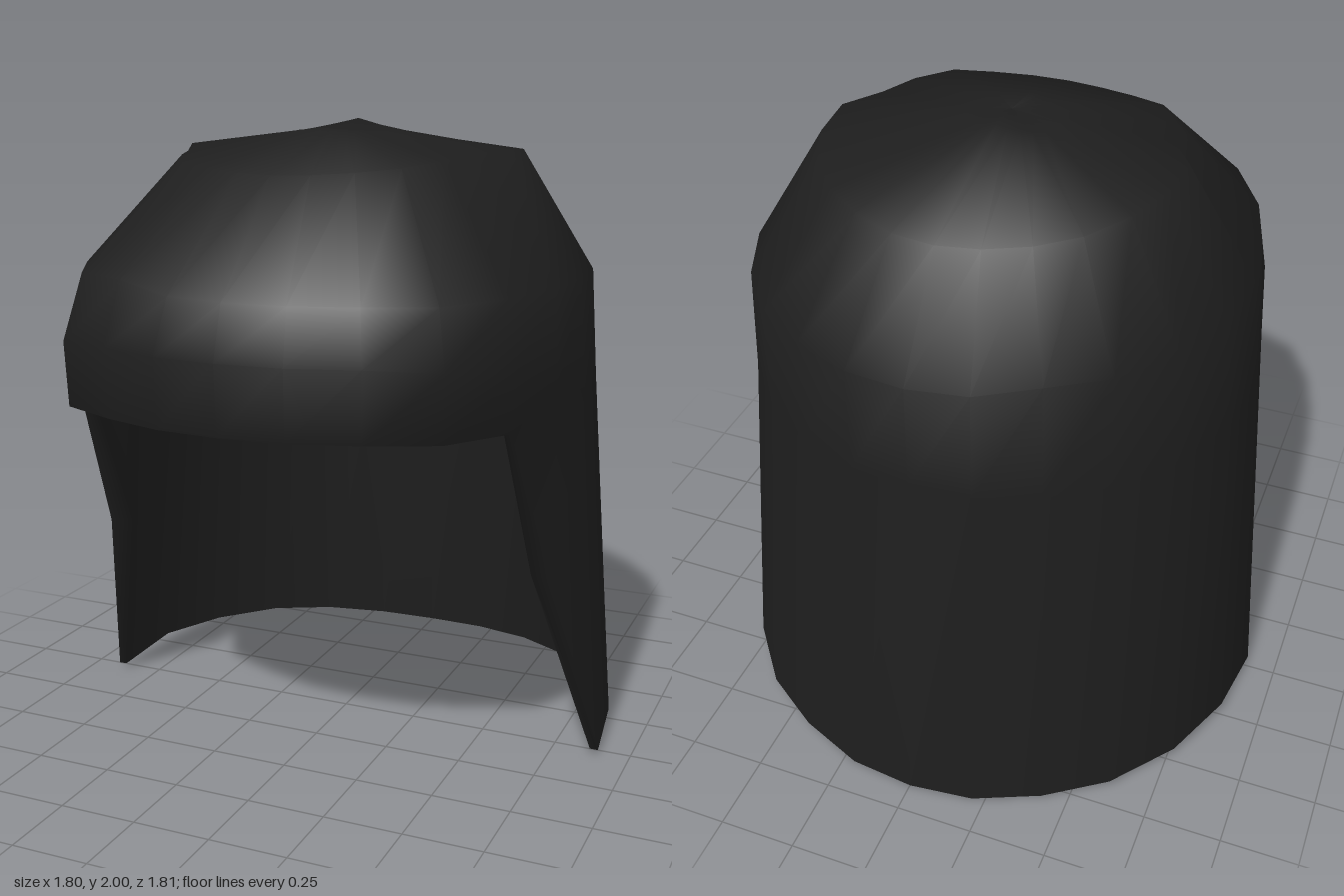
import * as THREE from 'three';

// Half of the lower hem, from the back centre round to the front centre:
// x, z, hem height, mid-ring height, mid scale, shoulder scale, inner-edge scale
const HALF = [
  [0, -0.905, 0.00, 1.2, 0.885, 0.88, 0.975],
  [0.21, -0.885, 0.005, 1.2, 0.885, 0.88, 0.975],
  [0.42, -0.805, 0.02, 1.2, 0.885, 0.88, 0.975],
  [0.61, -0.68, 0.03, 1.2, 0.885, 0.88, 0.975],
  [0.77, -0.48, 0.035, 1.2, 0.89, 0.875, 0.975],
  [0.87, -0.24, 0.04, 1.2, 0.9, 0.875, 0.975],
  [0.90, 0.03, 0.015, 1.2, 0.9, 0.87, 0.97],
  [0.785, 0.25, 0.65, 1.25, 1.0, 0.975, 0.91],
  [0.72, 0.50, 1.16, 1.33, 1.01, 0.97, 0.96],
  [0.60, 0.735, 1.17, 1.37, 1.01, 0.955, 0.95],
  [0.40, 0.825, 1.17, 1.38, 1.01, 0.955, 0.95],
  [0.20, 0.885, 1.17, 1.38, 1.01, 0.955, 0.95],
  [0, 0.90, 1.17, 1.38, 1.01, 0.955, 0.95],
];

// Mirror the half hem into a full loop; the right side is a touch slimmer
const COLUMNS = [
  ...HALF,
  ...HALF.slice(1, -1).reverse().map(([x, z, hem, midY, mid, shoulder, edge]) =>
    [z > 0.1 ? -0.98 * x : -x, z, hem, midY, mid, shoulder - 0.015, edge]),
];

// Skin a stack of closed rings with smooth normals
function loft(rings) {
  const n = rings[0].length;
  const index = [];
  for (let j = 0; j < rings.length - 1; j++) {
    for (let i = 0; i < n; i++) {
      const a = j * n + i, b = j * n + (i + 1) % n;
      const c = a + n, d = b + n;
      index.push(a, c, b, b, c, d);
    }
  }
  const geometry = new THREE.BufferGeometry();
  geometry.setAttribute('position', new THREE.Float32BufferAttribute(rings.flat(2), 3));
  geometry.setIndex(index);
  geometry.computeVertexNormals();
  return geometry;
}

// Rings of the outer surface, from the hem up to the crown
function outerRings() {
  const scaled = (pick) => COLUMNS.map((c) => {
    const [s, y] = pick(c);
    return [c[0] * s, y, c[1] * s];
  });
  const side = (c) => Math.abs(c[0]) / Math.hypot(c[0], c[1]);
  return [
    scaled((c) => [1, c[2]]),
    scaled((c) => [c[4], c[3]]),
    scaled((c) => [c[5], c[0] < -0.3 ? 1.57 : 1.54]),
    scaled((c) => [c[5] * (c[1] > 0.1 ? 0.63 : 0.71), 1.86 + 0.055 * side(c) ** 2]),
    // small raised swirl with a dip in the middle
    COLUMNS.map((c) => [
      c[0] * 0.16,
      1.965 + (1 - side(c)) * (c[1] < 0 ? 0.035 : 0.015),
      0.04 + c[1] * 0.155,
    ]),
    COLUMNS.map(() => [0.03, 1.955, 0.1]),
  ];
}

export function createModel() {
  const black = new THREE.MeshStandardMaterial({ color: 0x1e1e1e });
  black.name = 'black hair';

  const outer = outerRings();
  // The lining follows the outer surface, a little inside it
  const lining = outer.map((ring, j) => ring.map(([x, y, z], i) => {
    const s = j === 0 ? COLUMNS[i][6] : 0.955;
    return [x * s, j < 2 ? y : y - 0.03, z * s];
  }));

  // One shell: down the lining, round the hem and up the outside
  const hair = new THREE.Mesh(loft([...lining.reverse(), ...outer]), black);
  hair.name = 'bobHair';

  const group = new THREE.Group();
  group.name = 'hairpiece';
  group.add(hair);
  return group;
}
